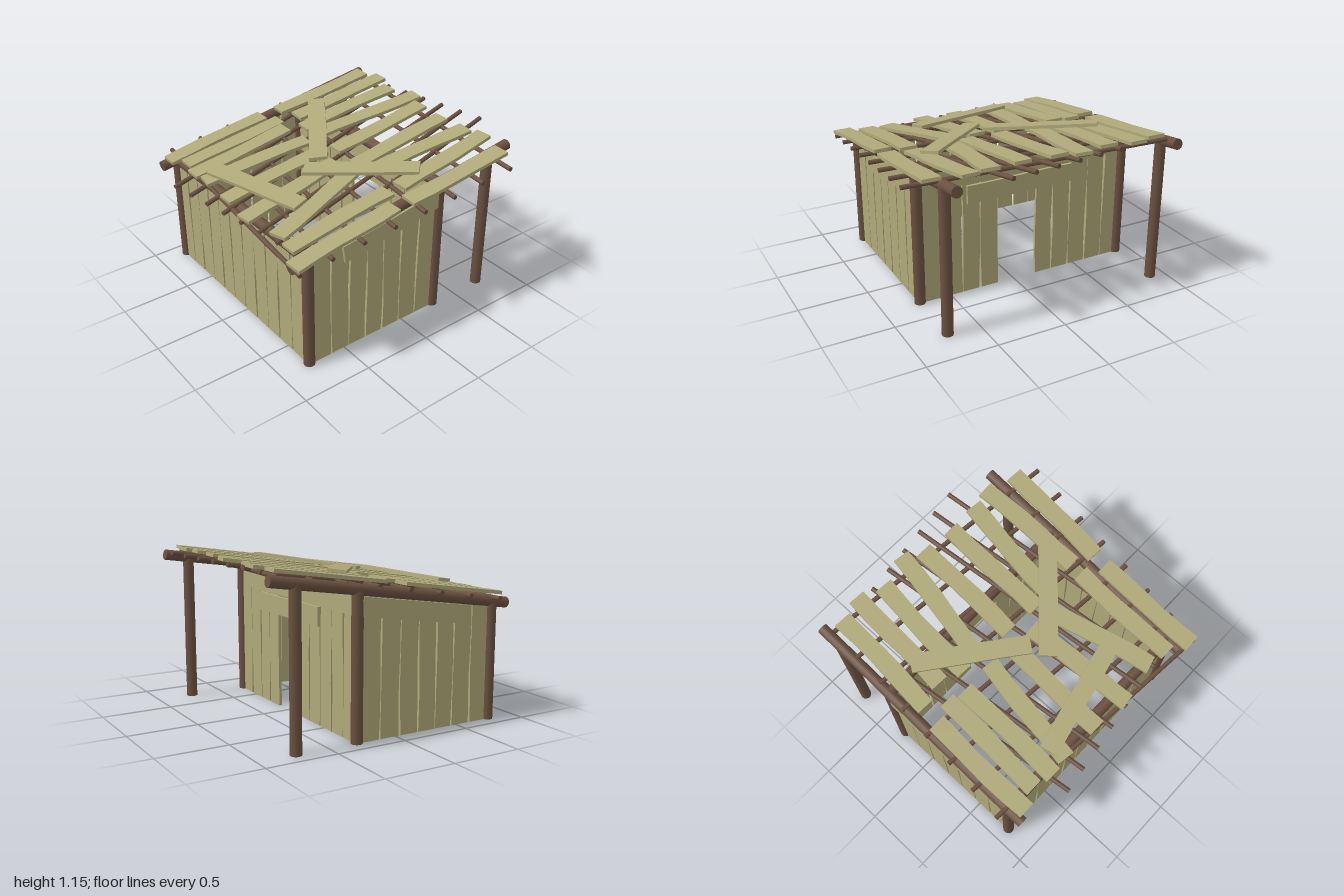
import * as THREE from 'three';

const V = (x, y, z) => new THREE.Vector3(x, y, z);
const SLOPE = 0.151;
const FRONT = 0.73, BACK = -0.887;   // post rows in z
const LEFT_X = -0.78, WALL_X = 0.295, PORCH_X = 0.735;
const beamY = x => 0.942 + SLOPE * x; // centre line of the sloping beams

export function createModel() {
  const model = new THREE.Group();
  const bark = new THREE.MeshStandardMaterial({ color: 0x6a5040 });
  const wood = new THREE.MeshStandardMaterial({ color: 0xb0a97a });
  let count = 0;

  const section = name => {
    const g = new THREE.Group();
    g.name = name;
    model.add(g);
    return g;
  };

  // Round log between two points
  function log(parent, name, a, b, radius, sides = 14) {
    const dir = b.clone().sub(a);
    const mesh = new THREE.Mesh(new THREE.CylinderGeometry(radius, radius, dir.length(), sides), bark);
    mesh.position.copy(a).add(b).multiplyScalar(0.5);
    mesh.quaternion.setFromUnitVectors(V(0, 1, 0), dir.normalize());
    mesh.name = name;
    parent.add(mesh);
  }

  // Slightly crooked board between two points, facing along normal
  function board(parent, name, a, b, width, thick, normal, wobble = 0.004) {
    const u = b.clone().sub(a);
    const len = u.length();
    u.normalize();
    const v = normal.clone().cross(u).normalize();
    const n = u.clone().cross(v);
    const geo = new THREE.BoxGeometry(len, width, thick, 5, 1, 1);
    const p = geo.attributes.position;
    const phase = 1.7 * count++;
    for (let i = 0; i < p.count; i++) {
      const t = p.getX(i) / len;
      const side = Math.sign(p.getY(i));
      p.setY(i, p.getY(i) + wobble * (Math.sin(t * 5 + phase) + 0.4 * side * Math.sin(t * 9 + phase * 2)));
    }
    geo.computeVertexNormals();
    const mesh = new THREE.Mesh(geo, wood);
    mesh.applyMatrix4(new THREE.Matrix4().makeBasis(u, v, n)
      .setPosition(a.clone().add(b).multiplyScalar(0.5)));
    mesh.name = name;
    parent.add(mesh);
  }

  // Posts and sloping beams
  const frame = section('frame');
  for (const z of [FRONT, BACK]) {
    for (const x of [LEFT_X, WALL_X, PORCH_X])
      log(frame, 'post', V(x, 0, z), V(x, beamY(x), z), 0.039);
    log(frame, 'slopingBeam', V(-0.91, beamY(-0.91), z), V(0.915, beamY(0.915), z), 0.038);
  }
  // Level beams over the two side walls
  for (const x of [LEFT_X, WALL_X])
    log(frame, 'crossBeam', V(x, beamY(x), BACK), V(x, beamY(x), FRONT), 0.038);

  // Front and back walls, each with a sloping strip under the beam
  const xEdges = [-0.755, -0.608, -0.46, -0.318, -0.176, -0.028, 0.122, 0.27];
  for (const [name, z, s] of [['frontWall', FRONT, 1], ['backWall', BACK, -1]]) {
    const wall = section(name);
    for (let i = 0; i < xEdges.length - 1; i++) {
      const x = (xEdges[i] + xEdges[i + 1]) / 2;
      board(wall, 'wallPlank', V(x, 0, z), V(x, beamY(x) - 0.025, z),
        xEdges[i + 1] - xEdges[i] - 0.011, 0.02, V(0, 0, s));
    }
    board(wall, 'wallStrip', V(-0.515, 0.76, z + s * 0.02), V(0.275, 0.88, z + s * 0.02),
      0.127, 0.02, V(0, 0, s), 0.001);
  }

  // Side walls: the left one is closed, the right one has a doorway
  const zEdges = [0.705, 0.555, 0.405, 0.268, 0.125, -0.022, -0.17, -0.31, -0.452, -0.598, -0.74, -0.86];
  const leftWall = section('closedSideWall');
  const rightWall = section('doorSideWall');
  for (let i = 0; i < zEdges.length - 1; i++) {
    const z = (zEdges[i] + zEdges[i + 1]) / 2;
    const w = zEdges[i] - zEdges[i + 1] - 0.011;
    board(leftWall, 'wallPlank', V(LEFT_X, 0, z), V(LEFT_X, 0.81, z), w, 0.02, V(-1, 0, 0));
    if (i !== 4 && i !== 5)
      board(rightWall, 'wallPlank', V(WALL_X, 0, z), V(WALL_X, 0.82, z), w, 0.02, V(1, 0, 0));
  }
  board(rightWall, 'wallHeader', V(WALL_X, 0.885, 0.71), V(WALL_X, 0.885, -0.86), 0.138, 0.02, V(1, 0, 0), 0.002);
  board(rightWall, 'doorLintel', V(WALL_X + 0.02, 0.743, 0.37), V(WALL_X + 0.02, 0.747, -0.45),
    0.132, 0.02, V(1, 0, 0), 0.002);

  // Lattice of thin poles carrying the roof boards
  const lattice = section('roofLattice');
  const onRoof = (x, z, lift) => V(x, beamY(x) + lift, z);
  for (let i = 0; i < 8; i++) {
    const x = -0.77 + 0.229 * i, z = -0.99 + 0.0195 * i;
    log(lattice, 'lengthPole', onRoof(x, z, 0.028), onRoof(x - 0.15, z + 1.845, 0.028), 0.016, 10);
    const x2 = -1 + 0.0245 * i, z2 = -0.53 + 0.172 * i;
    log(lattice, 'slopePole', onRoof(x2 + 0.003, z2, 0.036), onRoof(x2 + 1.82, z2 - 0.28, 0.036), 0.016, 10);
  }

  // Roof boards: x and z of each end
  const roofBoards = [
    [-0.885, -0.825, -0.08, -0.825], [-0.82, -0.675, -0.025, -0.67], [-0.855, -0.53, -0.06, -0.53],
    [-0.84, -0.40, -0.05, -0.285], [-0.855, -0.10, -0.05, -0.10], [-0.885, 0.18, -0.08, 0.09],
    [-0.83, 0.48, -0.05, 0.27], [-0.855, 0.625, -0.055, 0.62], [-0.935, 0.80, -0.135, 0.775],
    [0.045, -0.79, 0.84, -0.76], [0.09, -0.62, 0.885, -0.585], [0.03, -0.45, 0.82, -0.41],
    [0.025, -0.30, 0.885, -0.175], [0.01, -0.03, 0.81, -0.03], [-0.01, 0.215, 0.79, 0.215],
    [0.01, 0.36, 0.80, 0.44], [0.03, 0.64, 0.83, 0.595], [-0.035, 0.795, 0.765, 0.83],
  ];
  // Loose boards thrown across the others
  const looseBoards = [
    [0.31, -0.66, -0.16, 0], [-0.73, -0.445, -0.55, 0.345], [-0.30, 0.025, 0.235, 0.60],
  ];
  const up = V(-SLOPE, 1, 0).normalize();
  const roof = section('roof');
  for (const [x0, z0, x1, z1] of roofBoards)
    board(roof, 'roofBoard', onRoof(x0, z0, 0.062), onRoof(x1, z1, 0.062), 0.125, 0.024, up, 0.007);
  for (const [x0, z0, x1, z1] of looseBoards)
    board(roof, 'looseBoard', onRoof(x0, z0, 0.085), onRoof(x1, z1, 0.085), 0.128, 0.024, up, 0.002);

  return model;
}
